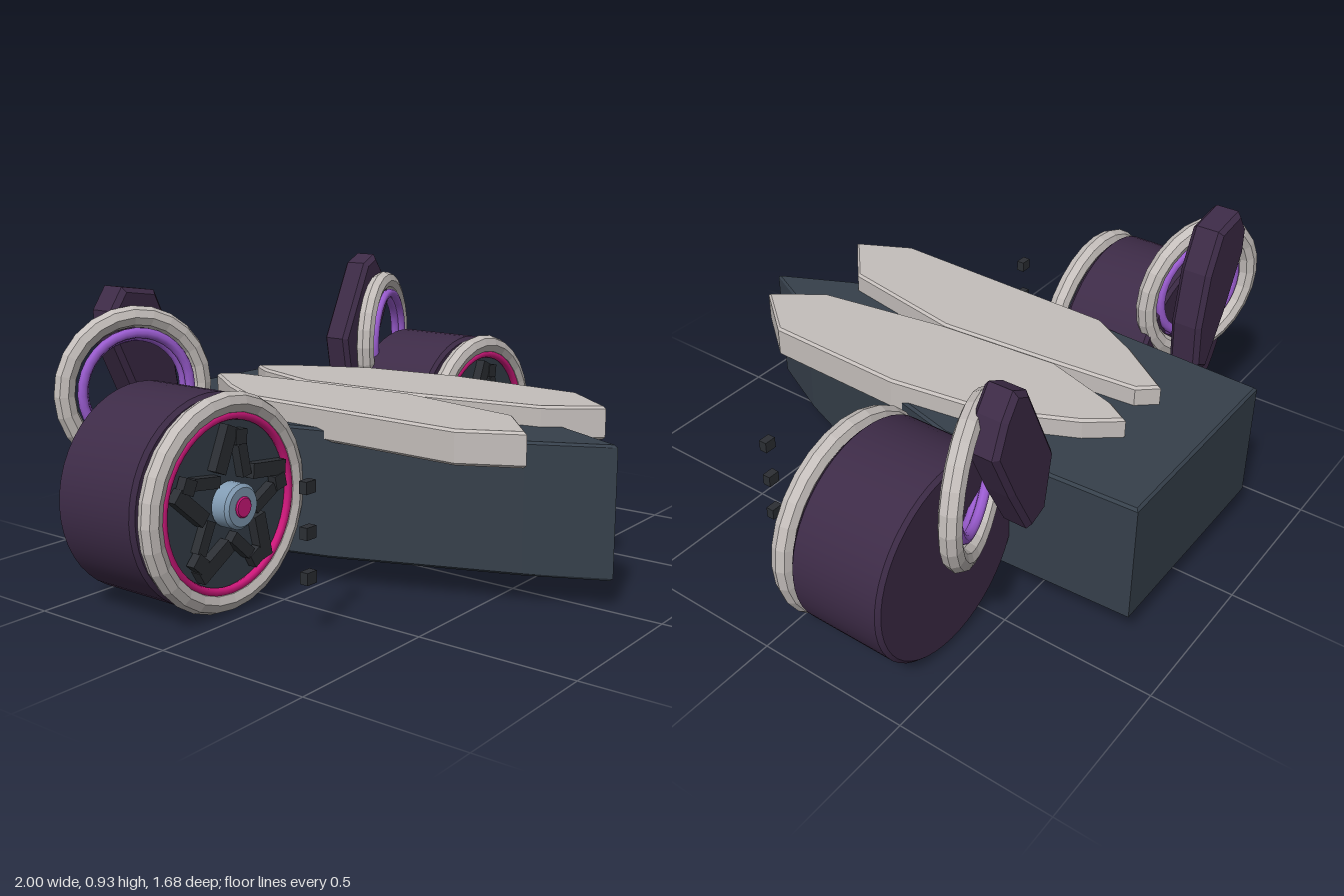
import * as THREE from 'three';
import { toCreasedNormals } from 'three/addons/utils/BufferGeometryUtils.js';

const material = (name, color, flat = false) => {
  const m = new THREE.MeshStandardMaterial({ color });
  m.name = name;
  m.flatShading = flat;
  return m;
};

export function createModel() {
  const slate = material('slate', 0x36404b);
  const bone = material('bone', 0xc4bebb, true);
  const plum = material('plum', 0x3d2b47);
  const violet = material('violet', 0x9a5cd0);
  const pink = material('pink', 0xd0187c);
  const steel = material('steel blue', 0x829cb4);
  const charcoal = material('charcoal', 0x2c2f34);

  const root = new THREE.Group();
  const add = (parent, name, geometry, mat, x = 0, y = 0, z = 0) => {
    const mesh = new THREE.Mesh(geometry, mat);
    mesh.name = name;
    mesh.position.set(x, y, z);
    parent.add(mesh);
    return mesh;
  };

  // Bevelled slab from an outline, from 0 to height along its local z
  const slab = (points, height, bevel) => {
    const shape = new THREE.Shape(points.map(([x, y]) => new THREE.Vector2(x, y)));
    const g = new THREE.ExtrudeGeometry(shape, {
      depth: height - 2 * bevel, bevelEnabled: true, bevelSegments: 1,
      bevelSize: bevel, bevelThickness: bevel, bevelOffset: -bevel,
    });
    return g.translate(0, 0, bevel);
  };
  // Slab lying flat, outline given as (x, z), top face at y = 0
  const flatSlab = (points, height, bevel) => slab(points, height, bevel).rotateX(Math.PI / 2);

  // Bevelled disc along z, from z0 to z1
  const disc = (r, z0, z1, bevel, sides = 48) => {
    const profile = [[0, z0], [r - bevel, z0], [r, z0 + bevel], [r, z1 - bevel], [r - bevel, z1], [0, z1]];
    const g = new THREE.LatheGeometry(profile.map(([x, y]) => new THREE.Vector2(x, y)), sides);
    return toCreasedNormals(g.rotateX(Math.PI / 2), 0.5);
  };

  // Body: wide at the back, tapering to a sharp prow
  const half = [[0.365, -0.84], [0.395, -0.2], [0.335, 0.04], [0.12, 0.6]];
  const outline = [...half, [0, 0.84], ...half.map(([x, z]) => [-x, z]).reverse()];
  add(root, 'body', flatSlab(outline, 0.41, 0.008), slate, 0, 0.51, 0);

  // Two blade-shaped deck plates
  const leftPlate = [[0.1, -0.64], [0.18, -0.54], [0.3, -0.29], [0.35, 0.04], [0.335, 0.52],
    [0.19, 0.7], [0.075, 0.54], [0.002, 0.1], [-0.028, -0.31], [0.05, -0.56]];
  const rightPlate = [[-0.107, -0.64], [-0.235, -0.46], [-0.33, -0.29], [-0.35, 0.51],
    [-0.257, 0.69], [-0.085, 0.54], [-0.002, 0.1], [-0.032, -0.31], [-0.055, -0.58]];
  add(root, 'leftDeckPlate', flatSlab(leftPlate, 0.105, 0.008), bone, 0, 0.575, 0);
  add(root, 'rightDeckPlate', flatSlab(rightPlate, 0.105, 0.008), bone, 0, 0.575, 0);

  // Leaning fins behind the wheels
  const leftFin = [[0.55, 0.91], [0.61, 0.94], [0.66, 0.87], [0.7, 0.77], [0.62, 0.6],
    [0.53, 0.43], [0.45, 0.46], [0.42, 0.64]];
  const rightFin = [[-0.69, 0.86], [-0.64, 0.93], [-0.51, 0.91], [-0.45, 0.78], [-0.42, 0.6],
    [-0.43, 0.45], [-0.5, 0.41], [-0.6, 0.58], [-0.69, 0.77]];
  add(root, 'leftFin', slab(leftFin, 0.105, 0.015), plum, 0, 0, -0.6);
  add(root, 'rightFin', slab(rightFin, 0.105, 0.015), plum, 0, 0, -0.6);

  for (const s of [1, -1]) {
    // Wheel drum with its rim and hub
    const wheel = new THREE.Group();
    wheel.name = s > 0 ? 'leftWheel' : 'rightWheel';
    wheel.position.set(s * 0.67, 0.335, 0);
    root.add(wheel);
    add(wheel, 'drum', disc(0.32, -0.43, -0.115, 0.012), plum);
    add(wheel, 'face', disc(0.275, -0.12, -0.065, 0.005), slate);
    add(wheel, 'rim', new THREE.TorusGeometry(0.295, 0.034, 8, 28), bone, 0, 0, -0.07);
    add(wheel, 'rimTrim', new THREE.TorusGeometry(0.26, 0.013, 8, 48), pink, 0, 0, -0.057);
    add(wheel, 'hub', disc(0.068, -0.07, 0, 0.01, 24), steel);
    add(wheel, 'hubCap', disc(0.032, -0.01, 0.006, 0.004, 16), pink);

    // Pinwheel of paired spokes with dark lugs
    for (let i = 0; i < 5; i++) {
      const arm = new THREE.Group();
      arm.name = 'spoke';
      arm.rotation.z = 0.2 + (i * Math.PI * 2) / 5;
      wheel.add(arm);
      const outer = add(arm, 'outerBar', new THREE.BoxGeometry(0.14, 0.045, 0.035), charcoal, 0.165, 0.045, -0.05);
      outer.rotation.z = -0.3;
      const inner = add(arm, 'innerBar', new THREE.BoxGeometry(0.1, 0.035, 0.03), charcoal, 0.13, -0.035, -0.05);
      inner.rotation.z = 0.3;
      add(arm, 'lug', new THREE.BoxGeometry(0.045, 0.045, 0.03), charcoal, 0.2, -0.01, -0.045);
    }

    // Column of small studs ahead of each wheel
    for (const y of [0.18, 0.31, 0.44]) {
      add(root, 'stud', new THREE.BoxGeometry(0.04, 0.036, 0.027), charcoal, s * 0.681, y, 0.252);
    }

    // Angled ring above and behind the wheel
    const ring = new THREE.Group();
    ring.name = s > 0 ? 'leftRing' : 'rightRing';
    ring.position.set(s * 0.63, 0.62, -0.48);
    ring.rotation.y = s * 0.35;
    root.add(ring);
    add(ring, 'outerRing', new THREE.TorusGeometry(0.222, 0.033, 8, 24), bone);
    add(ring, 'innerRing', new THREE.TorusGeometry(0.174, 0.016, 8, 32), violet, 0, 0, 0.022);
    add(ring, 'innerRingLip', new THREE.TorusGeometry(0.163, 0.016, 8, 32), violet, 0, 0, 0);
  }
  return root;
}
